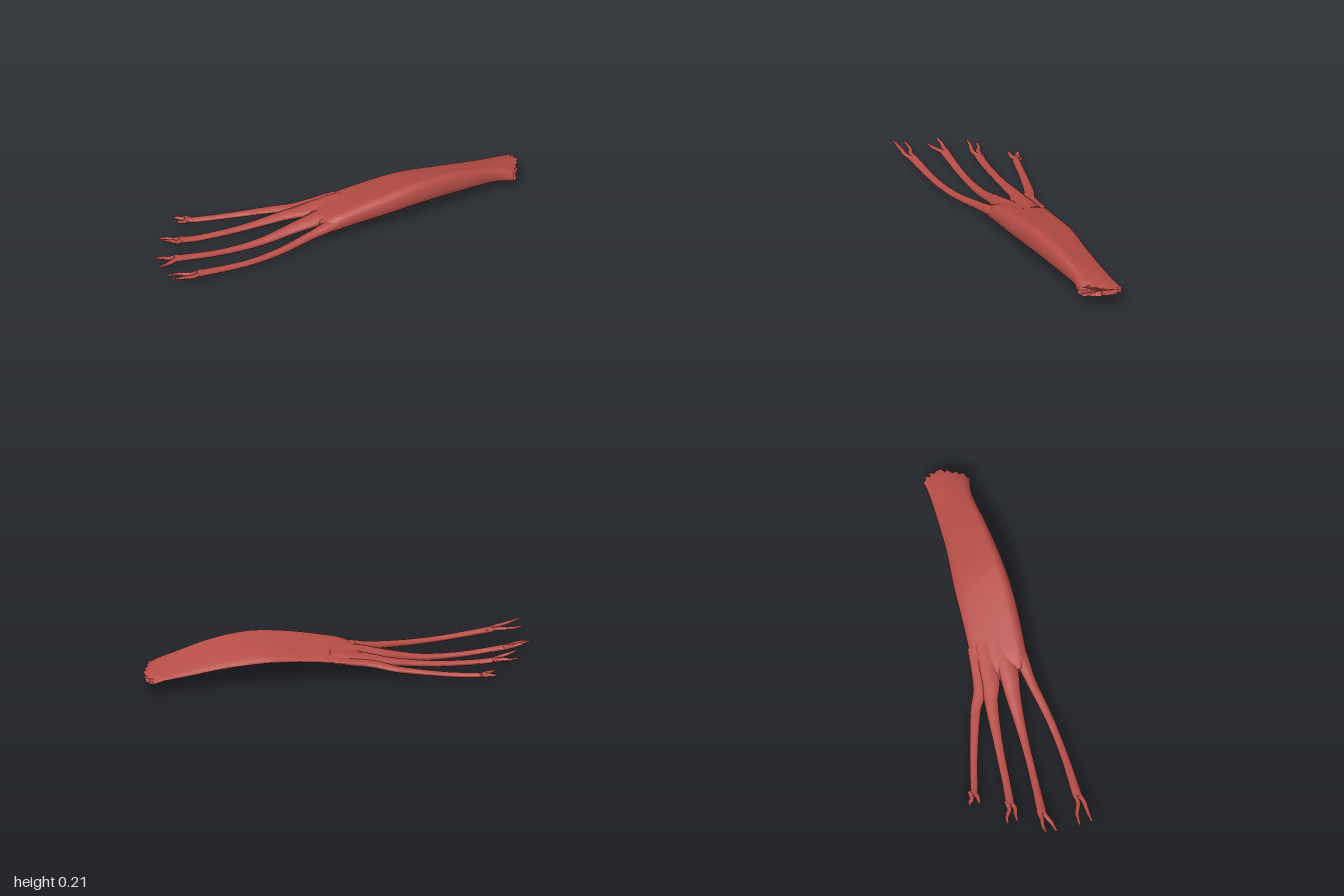
import * as THREE from 'three';
import { toCreasedNormals } from 'three/addons/utils/BufferGeometryUtils.js';

// Skin a run of rings (each ring goes left, top, right, bottom; rings advance towards +z)
function loft(rings) {
  const n = rings[0].length, pos = [], idx = [];
  rings.forEach(r => r.forEach(p => pos.push(p.x, p.y, p.z)));
  for (let i = 0; i < rings.length - 1; i++) {
    for (let j = 0; j < n; j++) {
      const k = (j + 1) % n, a = i * n + j, b = i * n + k;
      idx.push(a, a + n, b, b, a + n, b + n);
    }
  }
  [0, rings.length - 1].forEach((r, end) => {
    const c = new THREE.Vector3();
    rings[r].forEach(p => c.addScaledVector(p, 1 / n));
    pos.push(c.x, c.y, c.z);
    const centre = pos.length / 3 - 1;
    for (let j = 0; j < n; j++) {
      const a = r * n + j, b = r * n + (j + 1) % n;
      if (end) idx.push(centre, b, a); else idx.push(centre, a, b);
    }
  });
  const geo = new THREE.BufferGeometry();
  geo.setAttribute('position', new THREE.Float32BufferAttribute(pos, 3));
  geo.setIndex(idx);
  return toCreasedNormals(geo, 1.0);
}

const curve = pts => new THREE.CatmullRomCurve3(pts.map(p => new THREE.Vector3(...p)), false, 'catmullrom', 0.5);

// Flattened strand; each point is [x, y, z, half width, half height]
function strand(points, steps) {
  const path = curve(points.map(p => p.slice(0, 3)));
  const size = curve(points.map(p => [p[3], p[4], 0]));
  const rings = [];
  for (let i = 0; i <= steps; i++) {
    const c = path.getPoint(i / steps), t = path.getTangent(i / steps), s = size.getPoint(i / steps);
    const side = new THREE.Vector3(t.z, 0, -t.x).normalize();
    const up = new THREE.Vector3().crossVectors(t, side).normalize();
    const ring = [];
    for (let j = 0; j < 14; j++) {
      const a = j / 14 * Math.PI * 2;
      ring.push(c.clone().addScaledVector(side, -Math.cos(a) * s.x).addScaledVector(up, Math.sin(a) * s.y));
    }
    rings.push(ring);
  }
  return loft(rings);
}

// Belly stations: z, left x, right x, left edge y, crest y, underside y, slant of the cut end
const STATIONS = [
  [-0.98, 0.2, 0.41, 0.07, 0.112, 0.058, 0.1],
  [-0.92, 0.195, 0.395, 0.08, 0.13, 0.063, 0.07],
  [-0.8, 0.17, 0.372, 0.092, 0.156, 0.075, 0.02],
  [-0.6, 0.12, 0.355, 0.117, 0.196, 0.09, 0],
  [-0.4, 0.055, 0.33, 0.13, 0.212, 0.097, 0],
  [-0.2, 0, 0.29, 0.115, 0.188, 0.087, 0],
  [0, -0.06, 0.23, 0.085, 0.147, 0.066, 0],
  [0.07, -0.083, 0.207, 0.072, 0.125, 0.054, 0],
  [0.12, -0.095, 0.188, 0.062, 0.098, 0.05, 0],
];

// Cross-section: fraction across, weight of left edge height, weight of crest height
const SECTION = [
  [0, 0.9, 0], [0.1, 0.75, 0.25], [0.33, 0.47, 0.53], [0.55, 0.26, 0.74], [0.75, 0.06, 0.94],
  [0.88, 0, 1], [0.97, 0, 0.8], [1, 0, 0.4], [0.95, 0, 0.06], [0.8, 0, 0.02], [0.55, 0.1, 0.1], [0.28, 0.3, 0.03], [0.08, 0.6, 0],
];

function belly() {
  const outline = curve(STATIONS.map(s => [s[1], s[2], s[0]]));
  const heights = curve(STATIONS.map(s => [s[3], s[4], s[5]]));
  const slants = curve(STATIONS.map(s => [s[6], 0, 0]));
  const section = new THREE.CatmullRomCurve3(SECTION.map(p => new THREE.Vector3(...p)), true, 'catmullrom', 0.5);
  const rings = [], steps = 48, n = 64;
  for (let i = 0; i <= steps; i++) {
    const o = outline.getPoint(i / steps), h = heights.getPoint(i / steps), slant = slants.getPoint(i / steps).x;
    const ring = [];
    for (let j = 0; j < n; j++) {
      const { x: u, y: a, z: b } = section.getPoint(j / n);
      const y = a * h.x + b * h.y + (1 - a - b) * h.z;
      // Ragged fibres along the cut end
      const rag = i === 0 ? 0.009 * Math.sin(u * 47) + 0.006 * Math.sin(u * 101) : 0;
      const z = o.z + slant * Math.max(0, u - 0.45) / 0.55 - 0.012 * (slant / 0.1) * Math.sin(Math.PI * u) + rag;
      ring.push(new THREE.Vector3(THREE.MathUtils.lerp(o.x, o.y, u), y, z));
    }
    rings.push(ring);
  }
  return loft(rings);
}

// Tendons from the model's right to its left, each with two split tips
const TENDONS = [
  { path: [[0.0, 0.098, -0.08, 0.04, 0.016], [-0.075, 0.07, 0.1, 0.034, 0.016], [-0.155, 0.05, 0.2, 0.026, 0.014],
    [-0.275, 0.03, 0.4, 0.02, 0.012], [-0.345, 0.026, 0.53, 0.019, 0.012], [-0.372, 0.03, 0.575, 0.018, 0.011]],
    tips: [[-0.412, 0.035, 0.612], [-0.368, 0.04, 0.628]] },
  { path: [[0.05, 0.115, -0.08, 0.05, 0.018], [-0.015, 0.082, 0.1, 0.046, 0.02], [-0.065, 0.062, 0.2, 0.034, 0.018],
    [-0.135, 0.036, 0.4, 0.023, 0.014], [-0.2, 0.03, 0.6, 0.021, 0.013], [-0.24, 0.038, 0.71, 0.023, 0.012]],
    tips: [[-0.298, 0.05, 0.79], [-0.255, 0.074, 0.81]] },
  { path: [[0.12, 0.125, -0.08, 0.055, 0.02], [0.085, 0.088, 0.1, 0.05, 0.026], [0.048, 0.06, 0.22, 0.038, 0.022],
    [0.0, 0.024, 0.4, 0.024, 0.018], [-0.055, 0.02, 0.6, 0.02, 0.014], [-0.125, 0.042, 0.83, 0.024, 0.013]],
    tips: [[-0.158, 0.068, 0.93], [-0.106, 0.048, 0.942]] },
  { path: [[0.2, 0.115, -0.08, 0.035, 0.025], [0.173, 0.084, 0.1, 0.032, 0.026], [0.161, 0.068, 0.2, 0.025, 0.02],
    [0.15, 0.047, 0.4, 0.021, 0.016], [0.122, 0.045, 0.6, 0.02, 0.014], [0.07, 0.064, 0.84, 0.024, 0.014]],
    tips: [[0.005, 0.077, 0.98], [0.064, 0.094, 0.995]] },
];

export function createModel() {
  const group = new THREE.Group();
  group.name = 'muscle';
  const red = new THREE.MeshStandardMaterial({ color: 0xb54c46 });
  red.name = 'muscleRed';
  const add = (parent, geo, name) => {
    const mesh = new THREE.Mesh(geo, red);
    mesh.name = name;
    parent.add(mesh);
  };

  add(group, belly(), 'muscleBelly');

  TENDONS.forEach(({ path, tips }, i) => {
    const tendon = new THREE.Group();
    tendon.name = `tendon${i + 1}`;
    group.add(tendon);
    add(tendon, strand(path, 30), 'tendonStrand');
    // Forked tips grow out of the last stretch of the strand
    const [x, y, z] = path[path.length - 1];
    tips.forEach(([tx, ty, tz], k) => {
      const s = k ? 1 : -1, l = tz - z;
      add(tendon, strand([
        [x + s * 0.006, y, z - 0.03, 0.012, 0.01],
        [x + s * 0.014, y + (ty - y) * 0.15, z + l * 0.2, 0.012, 0.01],
        [x + (tx - x) * 0.6 + s * 0.008, y + (ty - y) * 0.5, z + l * 0.55, 0.01, 0.008],
        [tx, ty, tz, 0.006, 0.004],
      ], 10), k ? 'leftTip' : 'rightTip');
    });
  });
  return group;
}
